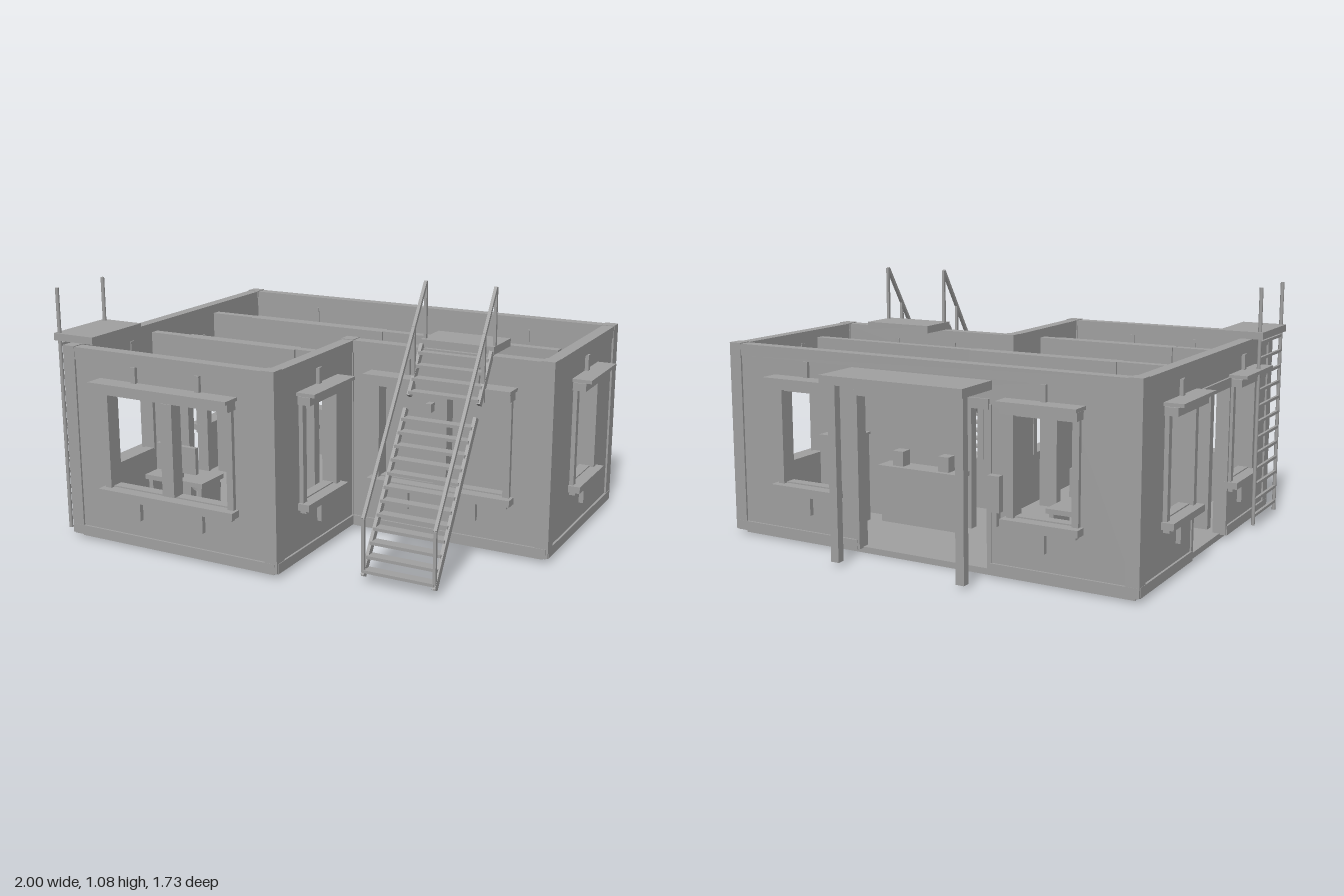
import * as THREE from 'three';

export function createModel() {
  const model = new THREE.Group();
  model.name = 'building';
  const grey = new THREE.MeshStandardMaterial({ color: 0xa0a0a0 });
  grey.name = 'plain grey';

  const add = (parent, name, geometry) => {
    const m = new THREE.Mesh(geometry, grey);
    m.name = name;
    parent.add(m);
    return m;
  };
  // Box given by its limits on each axis
  const box = (parent, name, x0, x1, y0, y1, z0, z1) => {
    const m = add(parent, name, new THREE.BoxGeometry(x1 - x0, y1 - y0, z1 - z0));
    m.position.set((x0 + x1) / 2, (y0 + y1) / 2, (z0 + z1) / 2);
    return m;
  };
  // Straight bar between two points
  const bar = (parent, name, a, b, w, d = w) => {
    const p = new THREE.Vector3(...a), q = new THREE.Vector3(...b);
    const m = add(parent, name, new THREE.BoxGeometry(w, d, p.distanceTo(q)));
    m.position.copy(p).add(q).multiplyScalar(0.5);
    m.lookAt(q);
    return m;
  };
  const group = (name) => {
    const g = new THREE.Group();
    g.name = name;
    model.add(g);
    return g;
  };
  const rect = (Type, x0, x1, y0, y1) => new Type([
    [x0, y0], [x1, y0], [x1, y1], [x0, y1],
  ].map(([x, y]) => new THREE.Vector2(x, y)));

  const T = 0.045, TOP = 0.815, SILL = 0.255, HEAD = 0.635, DOOR = 0.67;

  // Floor slab, L-shaped
  const plan = new THREE.Shape([[-0.9, 0.63], [0.895, 0.63], [0.895, -0.13], [0.03, -0.13], [0.03, -0.76], [-0.9, -0.76]]
    .map(([x, y]) => new THREE.Vector2(x, y)));
  add(model, 'floor', new THREE.ExtrudeGeometry(plan, { depth: 0.025, bevelEnabled: false })).rotation.x = -Math.PI / 2;

  // Window trim: jambs, sill, hood and brackets, outward is +z
  const addWindow = (wall, { c, h, double }) => {
    box(wall, 'windowSill', c - h - 0.035, c + h + 0.035, 0.222, 0.25, -0.02, 0.05);
    box(wall, 'windowApron', c - h - 0.015, c + h + 0.015, 0.205, 0.222, 0, 0.025);
    box(wall, 'windowLintel', c - h - 0.03, c + h + 0.03, 0.65, 0.682, -0.01, 0.055);
    box(wall, 'windowHood', c - h - 0.038, c + h + 0.038, 0.686, 0.70, 0, 0.08);
    for (const s of [-1, 1]) {
      const x = c + s * (h + 0.008);
      box(wall, 'windowJamb', x - 0.014, x + 0.014, 0.25, 0.65, -T - 0.004, 0.018);
    }
    if (double) box(wall, 'windowMullion', c - 0.028, c + 0.028, SILL, HEAD, -T, 0.015);
    for (const x of double ? [c - 0.15, c + 0.15] : [c]) {
      box(wall, 'lowerBracket', x - 0.011, x + 0.011, 0.13, 0.222, 0, 0.02);
      box(wall, 'upperBracket', x - 0.011, x + 0.011, 0.68, 0.765, -T - 0.005, 0.015);
    }
  };

  // Wall: u runs along the wall, outward is local +z
  const addWall = (name, turn, dist, u0, u1, windows, door) => {
    const wall = group(name);
    wall.rotation.y = turn;
    wall.position.set(Math.sin(turn) * dist, 0, Math.cos(turn) * dist);
    const pts = [[u0, 0.02]];
    if (door) pts.push([door[0], 0.02], [door[0], DOOR], [door[1], DOOR], [door[1], 0.02]);
    pts.push([u1, 0.02], [u1, TOP], [u0, TOP]);
    const shape = new THREE.Shape(pts.map(([x, y]) => new THREE.Vector2(x, y)));
    for (const w of windows) shape.holes.push(rect(THREE.Path, w.c - w.h, w.c + w.h, SILL, HEAD));
    const panel = add(wall, 'wallPanel', new THREE.ExtrudeGeometry(shape, { depth: T, bevelEnabled: false }));
    panel.position.z = -T;
    windows.forEach((w) => addWindow(wall, w));
    const spans = door ? [[u0, door[0]], [door[1], u1]] : [[u0, u1]];
    for (const [a, b] of spans) box(wall, 'skirting', a, b, 0.018, 0.058, -0.02, 0.009);
    box(wall, 'topBand', u0, u1, 0.765, TOP, -0.02, 0.006);
    if (door) {
      for (const x of door) box(wall, 'doorJamb', x - 0.01, x + 0.01, 0.02, DOOR, -T - 0.006, 0.006);
      box(wall, 'doorHeader', door[0], door[1], DOOR - 0.02, DOOR + 0.02, -T - 0.006, 0.01);
    }
    return wall;
  };
  const single = (c) => ({ c, h: 0.127 });
  const Q = Math.PI / 2;
  addWall('frontWall', 0, 0.78, -0.92, 0.05, [{ c: -0.43, h: 0.285, double: true }]);
  addWall('recessedFrontWall', 0, 0.155, 0.01, 0.92, [{ c: 0.46, h: 0.28, double: true }]);
  addWall('leftWall', Q, 0.92, -0.155, 0.65, [single(0.245)]);
  addWall('wingSideWall', Q, 0.055, -0.78, -0.11, [single(-0.45)]);
  const back = addWall('backWall', 2 * Q, 0.65, -0.92, 0.92, [single(0.54), single(-0.535)], [-0.3, 0.31]);
  addWall('rightWall', -Q, 0.92, -0.65, 0.78, [single(-0.285), single(0.41)], [-0.135, 0.26]);

  // Corner posts
  for (const [x, z] of [[-0.9, 0.76], [0.033, 0.76], [0.9, 0.133], [0.9, -0.63], [-0.9, -0.63], [0.033, 0.133]]) {
    box(model, 'cornerPost', x - 0.028, x + 0.028, 0.02, TOP + 0.003, z - 0.028, z + 0.028);
  }

  // Service box beside the back entrance
  box(back, 'serviceBox', 0.325, 0.375, 0.27, 0.41, 0.015, 0.045);
  box(back, 'servicePipe', 0.344, 0.356, 0.21, 0.29, 0, 0.03);

  // Back porch
  const porch = group('porch');
  box(porch, 'canopy', -0.32, 0.315, 0.725, 0.76, -0.865, -0.64);
  for (const x of [-0.285, 0.285]) box(porch, 'porchPost', x - 0.018, x + 0.018, 0.015, 0.725, -0.83, -0.797);

  // Inner partitions with wide openings
  const partition = (name, x0, x1, a, b, z) => {
    const g = group(name);
    box(g, 'panel', x0, a, 0.025, 0.79, z - 0.02, z + 0.02);
    box(g, 'panel', b, x1, 0.025, 0.79, z - 0.02, z + 0.02);
    box(g, 'header', a, b, DOOR, 0.79, z - 0.03, z + 0.03);
  };
  partition('middlePartition', -0.835, 0.83, -0.62, 0.04, -0.175);
  partition('frontPartition', -0.835, -0.035, -0.66, -0.12, 0.3);

  // Desks with screens and stools
  for (const z of [-0.355, 0.478]) {
    const desk = group('desk');
    box(desk, 'deskTop', -0.72, -0.435, 0.215, 0.235, z - 0.08, z + 0.08);
    for (const x of [-0.71, -0.465]) box(desk, 'deskSide', x, x + 0.02, 0.025, 0.215, z - 0.07, z + 0.07);
    box(desk, 'screen', -0.675, -0.48, 0.26, 0.375, z + 0.035, z + 0.055);
    box(desk, 'screenStand', -0.6, -0.555, 0.235, 0.262, z + 0.035, z + 0.055);
    const seat = add(desk, 'stoolSeat', new THREE.CylinderGeometry(0.062, 0.062, 0.025, 24));
    seat.position.set(-0.578, 0.14, z - 0.16);
    const leg = add(desk, 'stoolLeg', new THREE.CylinderGeometry(0.015, 0.015, 0.11, 12));
    leg.position.set(-0.578, 0.075, z - 0.16);
  }

  // Counter with two small boxes, and a cabinet
  const counter = group('counter');
  box(counter, 'counterBody', 0.06, 0.44, 0.025, 0.255, -0.28, -0.195);
  box(counter, 'counterTop', 0.05, 0.45, 0.255, 0.275, -0.29, -0.195);
  for (const x of [0.108, 0.335]) box(counter, 'smallBox', x, x + 0.052, 0.275, 0.34, -0.268, -0.215);
  const cabinet = group('cabinet');
  box(cabinet, 'cabinetBody', 0.497, 0.643, 0.025, 0.405, -0.43, -0.287);
  box(cabinet, 'cabinetTop', 0.492, 0.648, 0.405, 0.415, -0.435, -0.28);

  // Outside stair in two broken flights, with railings and a landing
  const stair = group('stair');
  const zAt = (y) => 0.665 - (y - 0.03) * 0.636;
  for (const x of [0.37, 0.667]) {
    for (const [a, b] of [[0.03, 0.6], [0.645, 0.83]]) {
      bar(stair, 'stringer', [x, a, zAt(a)], [x, b, zAt(b)], 0.014, 0.026);
    }
    bar(stair, 'handrail', [x, 0.26, 0.665], [x, 1.08, 0.127], 0.013);
    for (const [z, y0, y1] of [[0.665, 0.03, 0.26], [0.235, 0.645, 0.92], [0.127, 0.83, 1.08]]) {
      box(stair, 'railPost', x - 0.006, x + 0.006, y0, y1, z - 0.006, z + 0.006);
    }
  }
  for (let i = 0; i < 17; i++) {
    const y = 0.05 + i * 0.047;
    if (y > 0.6 && y < 0.645) continue;
    box(stair, 'tread', 0.37, 0.667, y - 0.006, y + 0.006, zAt(y) - 0.022, zAt(y) + 0.022);
  }
  box(stair, 'looseBlock', 0.453, 0.477, 0.595, 0.63, 0.265, 0.3);
  box(stair, 'landing', 0.36, 0.675, 0.818, 0.85, -0.025, 0.155);

  // Side ladder with roof platform
  const ladder = group('ladder');
  box(ladder, 'platform', -0.995, -0.8, 0.825, 0.855, 0.44, 0.76);
  for (const z of [0.46, 0.748]) {
    const rail = add(ladder, 'ladderRail', new THREE.CylinderGeometry(0.008, 0.008, 1.02, 10));
    rail.position.set(-0.975, 0.53, z);
  }
  for (let i = 0; i < 12; i++) {
    const y = 0.06 + i * 0.068;
    box(ladder, 'rung', -0.981, -0.969, y - 0.006, y + 0.006, 0.46, 0.748);
  }
  return model;
}
